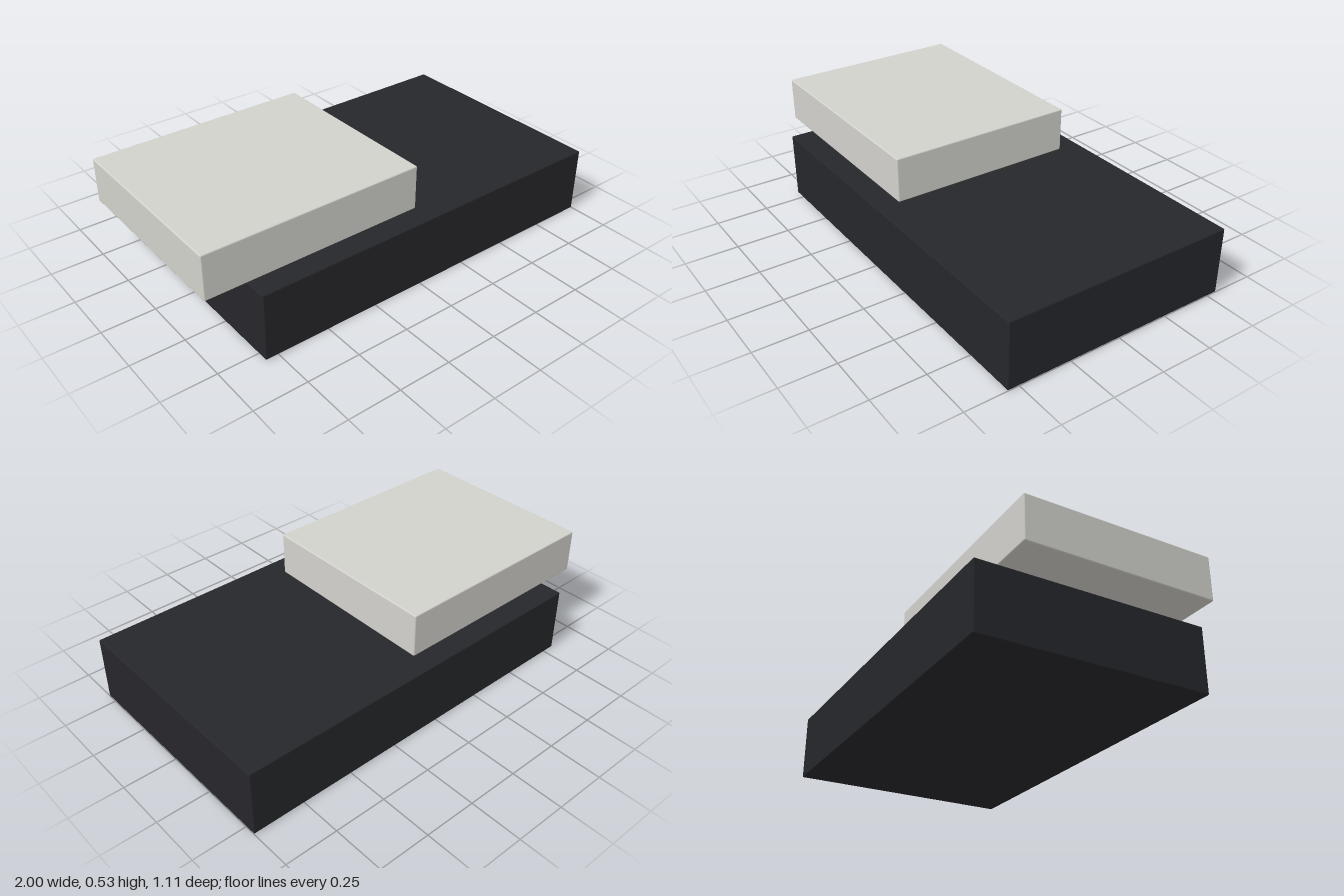
import * as THREE from 'three';
import { RoundedBoxGeometry } from 'three/addons/geometries/RoundedBoxGeometry.js';

// Block with slightly eased edges, given by its x and y ranges and its depth
function block(name, [x0, x1], [y0, y1], depth, color) {
  const geometry = new RoundedBoxGeometry(x1 - x0, y1 - y0, depth, 2, 0.006);
  const mesh = new THREE.Mesh(geometry, new THREE.MeshStandardMaterial({ color }));
  mesh.name = name;
  mesh.position.set((x0 + x1) / 2, (y0 + y1) / 2, 0);
  return mesh;
}

export function createModel() {
  const model = new THREE.Group();
  model.name = 'stackedBlocks';

  // Long dark base slab
  model.add(block('baseSlab', [-0.81, 1], [0, 0.318], 1.106, 0x26272b));

  // Pale slab resting on top, overhanging the right end
  model.add(block('upperSlab', [-1, 0.05], [0.318, 0.528], 0.895, 0xd2d1cc));

  return model;
}
